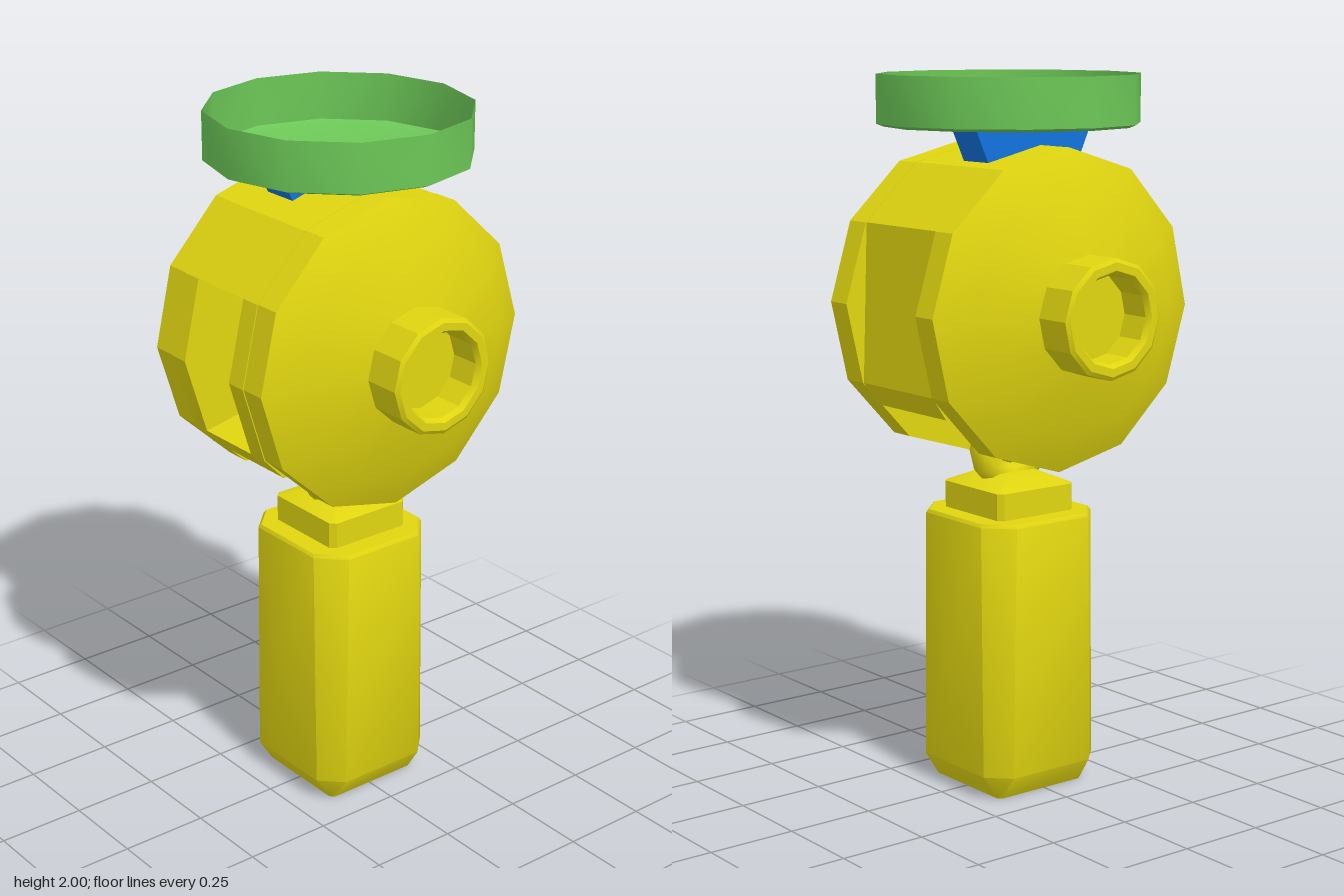
import * as THREE from 'three';
import { toCreasedNormals } from 'three/addons/utils/BufferGeometryUtils.js';

const yellow = new THREE.MeshStandardMaterial({ color: 0xe0d510, side: THREE.DoubleSide });
const green = new THREE.MeshStandardMaterial({ color: 0x6cc757, side: THREE.DoubleSide });
const blue = new THREE.MeshStandardMaterial({ color: 0x1273de });

const CY = 1.37, R = 0.44, TILT = THREE.MathUtils.degToRad(2);

function add(parent, name, geo, mat = yellow, crease = 0.5) {
  const mesh = new THREE.Mesh(toCreasedNormals(geo, crease), mat);
  mesh.name = name;
  parent.add(mesh);
  return mesh;
}

const lathe = (pts, start = 0) =>
  new THREE.LatheGeometry(pts.map(p => new THREE.Vector2(...p)), 12, start);

// Vertical loft through chamfered rectangles: [y, half width x, half depth z, chamfer]
function loft(sections) {
  const pos = [], idx = [], n = 8;
  for (const [y, w, d, c] of sections)
    for (const [x, z] of [[w - c, d], [w, d - c], [w, c - d], [w - c, -d],
      [c - w, -d], [-w, c - d], [-w, d - c], [c - w, d]]) pos.push(x, y, z);
  for (let s = 0; s < sections.length - 1; s++)
    for (let i = 0; i < n; i++) {
      const a = s * n + i, b = s * n + (i + 1) % n;
      idx.push(a, b, b + n, a, b + n, a + n);
    }
  const top = (sections.length - 1) * n;
  for (let i = 1; i < n - 1; i++) idx.push(0, i + 1, i, top, top + i, top + i + 1);
  const geo = new THREE.BufferGeometry();
  geo.setAttribute('position', new THREE.Float32BufferAttribute(pos, 3));
  geo.setIndex(idx);
  geo.computeVertexNormals();
  return geo;
}

// Corner k of the twelve-sided drum outline
const corner = k => {
  const a = TILT + k * Math.PI / 6;
  return [R * Math.cos(a), CY + R * Math.sin(a)];
};

function slab(points, z0, z1) {
  const shape = new THREE.Shape(points.map(p => new THREE.Vector2(...p)));
  return new THREE.ExtrudeGeometry(shape, { depth: z1 - z0, bevelEnabled: false }).translate(0, 0, z0);
}

export function createModel() {
  const model = new THREE.Group();

  // Drum ends: domed twelve-sided discs with a hollow hub
  const endProfile = [[0, 0.16], [R, 0.16], [R, 0.235], [0.34, 0.285], [0.163, 0.33],
    [0.163, 0.437], [0.152, 0.445], [0.13, 0.445], [0.12, 0.43], [0.12, 0.345], [0, 0.345]];
  for (const s of [1, -1]) {
    const geo = lathe(endProfile, s * TILT).rotateX(Math.PI / 2);
    if (s < 0) geo.rotateY(Math.PI);
    add(model, s > 0 ? 'frontDrumEnd' : 'backDrumEnd', geo).position.set(0.003, CY, 0);
  }

  // Drum middle: open below, flat recess on one side, window on the other
  const floor = [[-0.31, 1.07], [0.345, 1.1], corner(-1)];
  const roof = [1, 2, 3, 4, 5].map(corner);
  const full = [...floor, ...roof, corner(6), corner(7)];
  const cut = [...floor, ...roof, [-0.12, 1.52], [-0.12, 1.19], corner(7)];
  add(model, 'drumMiddle', slab(cut, -0.1, 0.1));
  add(model, 'windowFrameFront', slab(full, 0.1, 0.16));
  add(model, 'windowFrameBack', slab(full, -0.16, -0.1));

  // Green tray on a tapered blue bracket
  add(model, 'tray', lathe([[0, 1.858], [0.345, 1.858], [0.365, 1.866], [0.365, 2]]), green, 0.6)
    .position.x = 0.007;
  const bracket = loft([[1.765, 0.155, 0.054, 0], [1.857, 0.197, 0.054, 0]]);
  add(model, 'trayBracket', bracket, blue).position.set(0.006, 0, -0.054);

  // Handle with chamfered corners and a tapered foot
  const handle = new THREE.Group();
  handle.name = 'handle';
  handle.position.x = 0.01;
  model.add(handle);
  add(handle, 'grip', loft([[0, 0.15, 0.15, 0.012], [0.07, 0.195, 0.197, 0.06],
    [0.78, 0.195, 0.197, 0.07], [0.79, 0.19, 0.19, 0.07]]), yellow, 0.85);
  add(handle, 'neck', loft([[0.785, 0.133, 0.133, 0.015], [0.865, 0.133, 0.133, 0.015],
    [0.9, 0.06, 0.06, 0.01]]));

  // Linked rings joining the handle to the drum
  add(handle, 'handleRing', new THREE.TorusGeometry(0.085, 0.042, 8, 12), yellow, 1)
    .position.y = 0.965;
  const link = add(handle, 'drumRing', new THREE.TorusGeometry(0.052, 0.03, 8, 12), yellow, 1);
  link.rotation.y = Math.PI / 2;
  link.position.y = 1.0;
  add(handle, 'ringMount', new THREE.CylinderGeometry(0.14, 0.12, 0.05, 6)).position.y = 1.075;

  return model;
}
